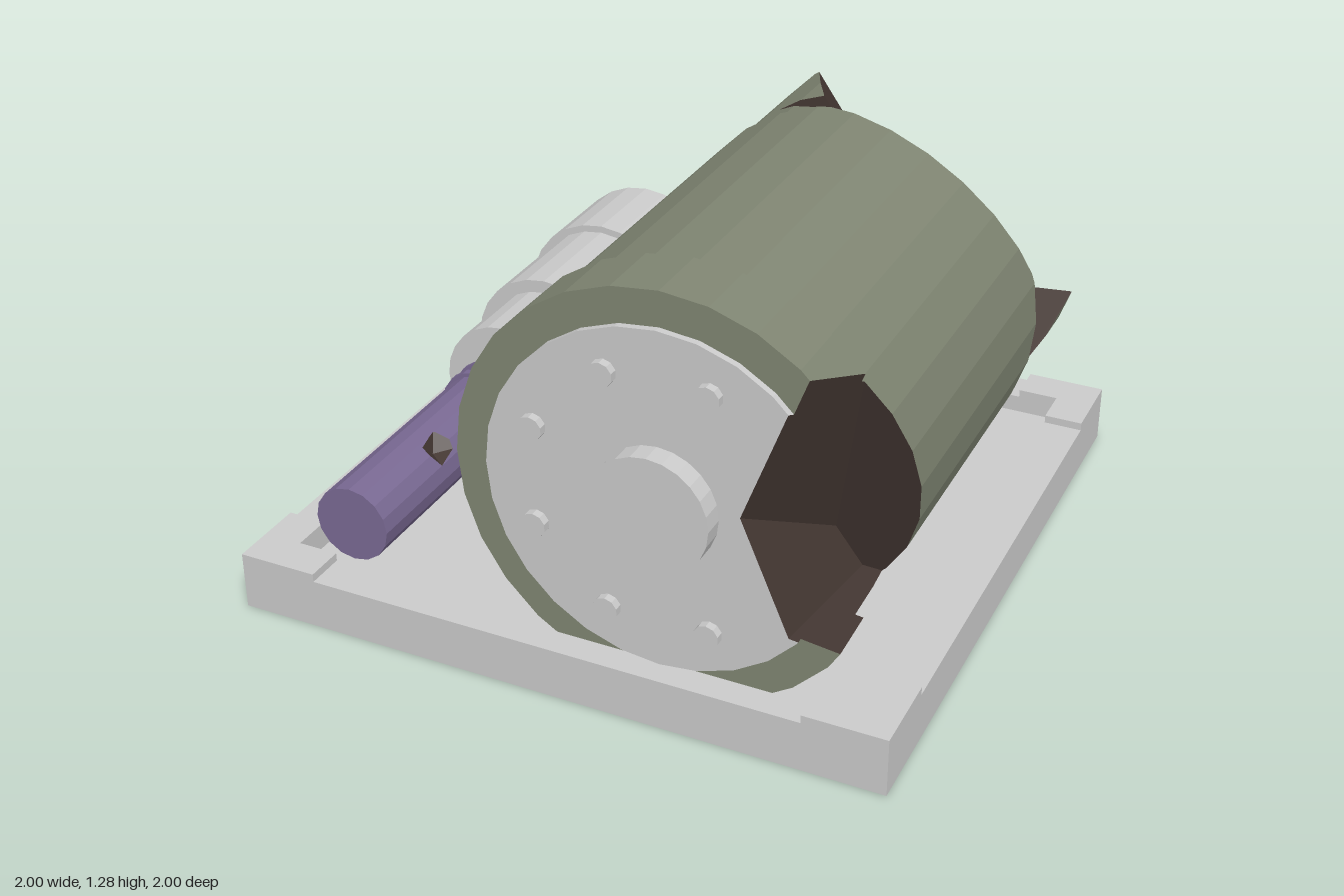
import * as THREE from 'three';

const GREY = 0xcccccc, GREEN = 0x808673, DARK = 0x453833, PURPLE = 0x7a6a94;
const V = (x, y, z) => new THREE.Vector3(x, y, z);
const paint = (color) => new THREE.MeshStandardMaterial({ color, flatShading: true });

// ---- convex solids described by outward planes ----
function planeFacingAway(a, b, c, inside) {
  const p = new THREE.Plane().setFromCoplanarPoints(V(...a), V(...b), V(...c));
  return p.distanceToPoint(V(...inside)) > 0 ? p.negate() : p;
}
const convex = (inside, triples) => triples.map((t) => planeFacingAway(...t, inside));

// Pyramid-shaped chip that opens outward from its apex
function chip(apex, corners) {
  const mid = [0, 1, 2].map((k) => corners.reduce((s, c) => s + c[k], 0) / corners.length);
  return convex(mid, corners.map((c, i) => [apex, c, corners[(i + 1) % corners.length]]));
}

// Many-sided drum lying along z
function drum(x, y, r, z0, z1, sides) {
  const planes = [new THREE.Plane(V(0, 0, 1), -z1), new THREE.Plane(V(0, 0, -1), z0)];
  const inner = r * Math.cos(Math.PI / sides);
  for (let i = 0; i < sides; i++) {
    const a = ((i + 0.5) / sides) * Math.PI * 2;
    const n = V(Math.cos(a), Math.sin(a), 0);
    planes.push(new THREE.Plane(n, -inner - n.dot(V(x, y, 0))));
  }
  return planes;
}

// Split a polygon into the parts behind and in front of a plane
function split(poly, plane) {
  const back = [], front = [];
  poly.forEach((p, i) => {
    const q = poly[(i + 1) % poly.length];
    const dp = plane.distanceToPoint(p), dq = plane.distanceToPoint(q);
    (dp <= 0 ? back : front).push(p);
    if ((dp <= 0) !== (dq <= 0)) {
      const m = p.clone().lerp(q, dp / (dp - dq));
      back.push(m);
      front.push(m);
    }
  });
  return [back, front];
}

function faceOf(plane, others) {
  const n = plane.normal, c = plane.coplanarPoint(V(0, 0, 0));
  const u = V(0, 1, 0).cross(n);
  if (u.length() < 0.1) u.set(1, 0, 0).cross(n);
  u.normalize();
  const v = n.clone().cross(u);
  let poly = [[-4, -4], [4, -4], [4, 4], [-4, 4]].map(([s, t]) => c.clone().addScaledVector(u, s).addScaledVector(v, t));
  for (const o of others) if (o !== plane && poly.length) poly = split(poly, o)[0];
  return poly;
}

function outside(polys, bite) {
  return polys.flatMap((poly) => {
    const kept = [];
    for (const plane of bite) {
      const [back, front] = split(poly, plane);
      if (front.length > 2) kept.push(front);
      poly = back;
      if (poly.length < 3) break;
    }
    return kept;
  });
}

function polyMesh(polys, color, name) {
  const pos = [];
  for (const p of polys)
    for (let i = 1; i < p.length - 1; i++) for (const v of [p[0], p[i], p[i + 1]]) pos.push(v.x, v.y, v.z);
  const g = new THREE.BufferGeometry();
  g.setAttribute('position', new THREE.Float32BufferAttribute(pos, 3));
  g.computeVertexNormals();
  const mesh = new THREE.Mesh(g, paint(color));
  mesh.name = name;
  return mesh;
}

// A solid with bites broken out of it, the broken faces dark
function broken(name, solid, color, bites) {
  const group = new THREE.Group();
  group.name = name;
  let skin = solid.map((p) => faceOf(p, solid)).filter((p) => p.length > 2);
  for (const b of bites) skin = outside(skin, b);
  group.add(polyMesh(skin, color, name + 'Shell'));
  let scars = [];
  for (const b of bites) {
    let faces = b.map((p) => faceOf(p, [...b, ...solid])).filter((p) => p.length > 2);
    for (const o of bites) if (o !== b) faces = outside(faces, o);
    scars.push(...faces.map((p) => p.slice().reverse()));
  }
  if (scars.length) group.add(polyMesh(scars, DARK, name + 'Fracture'));
  return group;
}

export function createModel() {
  const model = new THREE.Group();
  const box = (name, w, h, d, x, y, z) => {
    const m = new THREE.Mesh(new THREE.BoxGeometry(w, h, d), paint(GREY));
    m.name = name;
    m.position.set(x, y, z);
    model.add(m);
  };
  const rod = (name, x, y, r, z0, z1, sides, color = GREY) => {
    const g = new THREE.CylinderGeometry(r, r, z1 - z0, sides).rotateX(Math.PI / 2);
    const m = new THREE.Mesh(g, paint(color));
    m.name = name;
    m.position.set(x, y, (z0 + z1) / 2);
    model.add(m);
  };

  // Base: recessed pan, low rails and raised L-shaped corners
  box('basePan', 1.76, 0.1, 1.76, 0, 0.05, 0);
  for (const s of [-1, 1]) {
    box('baseRail', 2, 0.155, 0.12, 0, 0.0775, s * 0.94);
    box('baseRail', 0.12, 0.155, 1.76, s * 0.94, 0.0775, 0);
    for (const t of [-1, 1]) {
      box('baseCorner', 0.245, 0.03, 0.12, s * 0.8775, 0.165, t * 0.94);
      box('baseCorner', 0.12, 0.03, 0.125, s * 0.94, 0.165, t * 0.8175);
    }
  }

  // Bite out of the front left of the tank
  const frontBite = convex([1, 0.7, 1], [
    [[0.72, 1.14, 0.93], [0.55, 0.69, 0.93], [0.79, 1.06, 0.71]],
    [[0.66, 0.42, 0.5], [0.79, 1.06, 0.71], [0.905, 0.6, 0.54]],
    [[0.55, 0.69, 0.93], [0.69, 0.36, 0.93], [0.66, 0.42, 0.5]],
    [[0.69, 0.36, 0.93], [0.84, 0.34, 0.92], [0.8, 0.3, 0.55]],
  ]);
  // Large bite out of the rear cap, and its continuation into the body
  const rearBite = convex([0.8, 1.2, -0.9], [
    [[-0.03, 1.13, -0.99], [0.43, 0.48, -0.99], [0.2, 1.23, -0.49]],
    [[0.43, 0.48, -0.99], [0.2, 1.23, -0.49], [0.8, 0.35, -0.55]],
    [[0.43, 0.48, -0.99], [0.87, 0.52, -0.99], [0.78, 0.32, -0.71]],
    [[0, 0, -0.46], [1, 0, -0.46], [0, 1, -0.46]],
  ]);
  const rimBite = convex([0.8, 1.3, -0.55], [
    [[0.25, 1.25, -0.44], [0.61, 1.18, -0.345], [0.86, 0.86, -0.44]],
    [[0, 0, -0.6], [1, 0, -0.6], [0, 1, -0.6]],
  ]);
  const sideGash = chip([-0.21, 0.52, -0.3], [
    [-0.27, 0.4, -0.44], [-0.27, 0.42, -0.3], [-0.28, 0.72, -0.17], [-0.28, 0.62, -0.3],
  ]);

  // Tank
  const X = 0.315, Y = 0.67;
  model.add(
    broken('frontFlange', drum(X, Y, 0.612, 0.71, 0.915, 28), GREEN, [frontBite]),
    broken('endPlate', drum(X, Y, 0.51, 0.9, 0.935, 28), GREY, [frontBite]),
    broken('tankBody', drum(X, Y, 0.59, -0.45, 0.71, 28), GREEN, [frontBite, rimBite, sideGash]),
    broken('tankSeam', drum(X, Y, 0.555, -0.49, -0.45, 28), GREY, [rearBite, rimBite]),
    broken('rearCap', drum(X, Y, 0.578, -0.99, -0.49, 28), GREEN, [rearBite, rimBite]),
  );
  rod('hub', X, Y, 0.175, 0.93, 1, 24);
  for (let i = 1; i < 7; i++) {
    const a = (i + 0.5) * Math.PI / 4;
    rod('bolt', X + 0.39 * Math.cos(a), Y + 0.39 * Math.sin(a), 0.037, 0.93, 0.96, 10);
  }

  // Motor with stepped housing
  const MX = -0.65, MY = 0.342;
  const motorChip = chip([-0.49, 0.43, -0.34], [
    [-0.5, 0.56, -0.35], [-0.44, 0.5, -0.41], [-0.38, 0.38, -0.33], [-0.44, 0.5, -0.27],
  ]);
  rod('motorRear', MX, MY, 0.27, -0.95, -0.61, 24);
  model.add(broken('motorMiddle', drum(MX, MY, 0.247, -0.61, -0.21, 24), GREY, [motorChip]));
  rod('motorFront', MX, MY, 0.205, -0.21, 0.06, 24);
  rod('motorNeck', MX, MY, 0.12, 0.06, 0.085, 16);

  // Shaft with two collars and a chip
  const shaftChip = chip([-0.59, 0.4, 0.59], [
    [-0.62, 0.48, 0.53], [-0.53, 0.4, 0.51], [-0.52, 0.38, 0.63], [-0.6, 0.47, 0.66],
  ]);
  model.add(broken('shaft', drum(MX, MY, 0.116, 0.08, 0.935, 16), PURPLE, [shaftChip]));
  for (const z of [0.145, 0.213]) rod('shaftCollar', MX, MY, 0.128, z - 0.013, z + 0.013, 16, PURPLE);

  // Pipe from motor to tank
  const pipe = new THREE.Mesh(new THREE.CylinderGeometry(0.066, 0.066, 0.35, 14).rotateZ(Math.PI / 2), paint(GREY));
  pipe.name = 'linkPipe';
  pipe.position.set(-0.345, 0.345, -0.28);
  model.add(pipe);

  return model;
}
